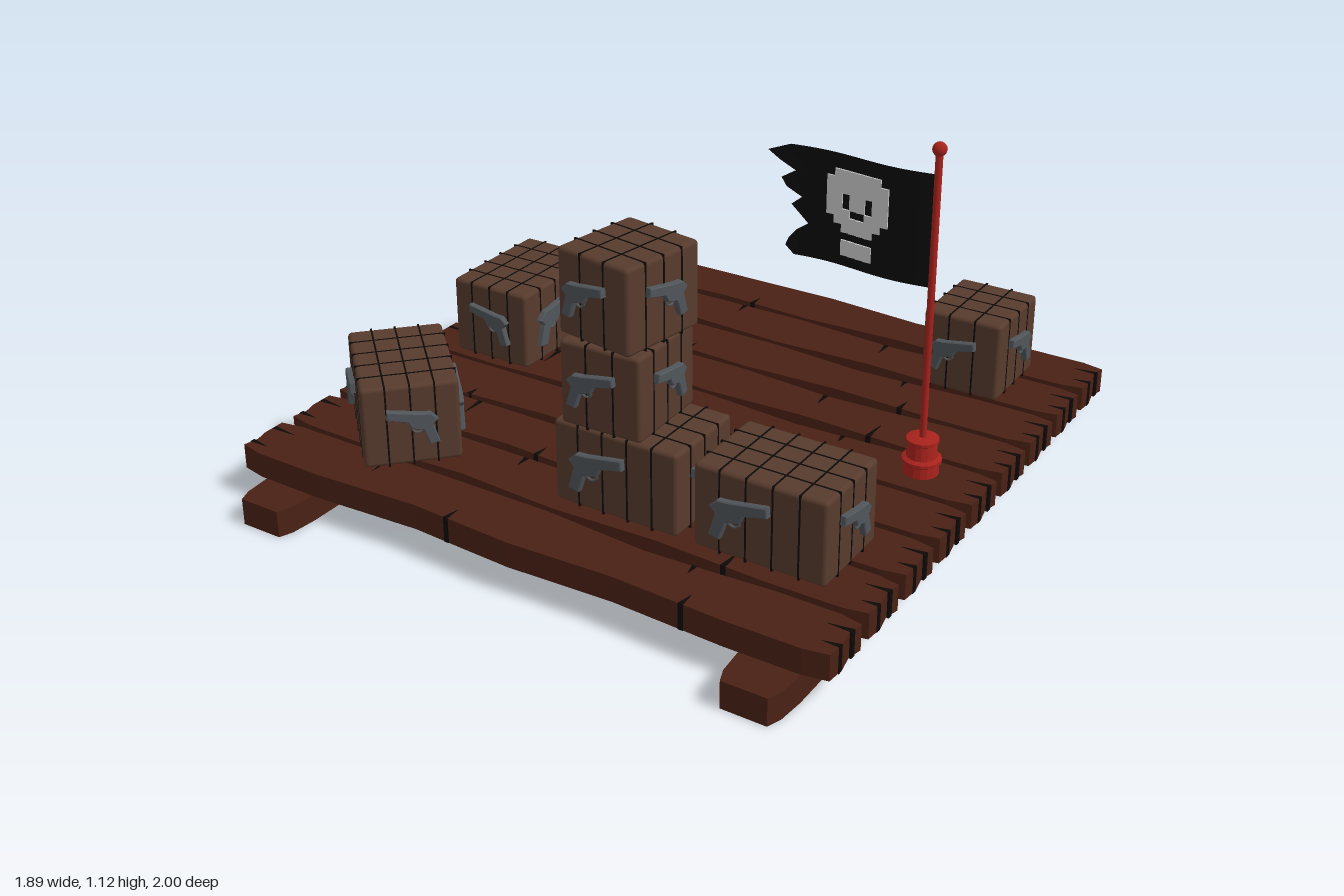
import * as THREE from 'three';
import { RoundedBoxGeometry } from 'three/addons/geometries/RoundedBoxGeometry.js';

const mat = (color, extra = {}) => new THREE.MeshStandardMaterial({ color, ...extra });
const WOOD = mat(0x4a2115, { flatShading: true });
const CRATE = mat(0x573b2d);
const DARK = mat(0x0d0907);
const METAL = mat(0x50555a);
const RED = mat(0xa8221c);
const CLOTH = mat(0x0b0b0b, { side: THREE.DoubleSide });
const BONE = mat(0xc4c4c4);

function add(parent, name, geometry, material, x = 0, y = 0, z = 0) {
  const mesh = new THREE.Mesh(geometry, material);
  mesh.name = name;
  mesh.position.set(x, y, z);
  parent.add(mesh);
  return mesh;
}

const shapeOf = (pts) => new THREE.Shape(pts.map(([x, y]) => new THREE.Vector2(x, y)));

// Extrudes plan outlines (x, z) upwards
function slab(outlines, height) {
  const shapes = outlines.map((pts) => shapeOf(pts.map(([x, z]) => [x, -z])));
  return new THREE.ExtrudeGeometry(shapes, { depth: height, bevelEnabled: false }).rotateX(-Math.PI / 2);
}

// Deck: two beams under nine worn planks
function buildDeck(root) {
  const beam = slab([[
    [-0.065, -1], [0.065, -1], [0.08, -0.96], [0.087, -0.88], [0.087, 0.88], [0.08, 0.96], [0.065, 1],
    [-0.065, 1], [-0.08, 0.96], [-0.087, 0.88], [-0.087, -0.88], [-0.08, -0.96],
  ]], 0.08);
  for (const x of [-0.765, 0.785]) add(root, 'beam', beam, WOOD, x);

  const plank = slab([[
    [-0.945, -0.078], [-0.87, -0.09], [0, -0.092], [0.16, -0.08], [0.32, -0.068], [0.5, -0.076], [0.7, -0.088],
    [0.88, -0.088], [0.945, -0.075], [0.935, -0.03], [0.945, 0.02], [0.94, 0.075], [0.87, 0.088],
    [0.65, 0.09], [0.32, 0.076], [0, 0.09], [-0.16, 0.082], [-0.32, 0.073], [-0.5, 0.083], [-0.65, 0.092],
    [-0.87, 0.09], [-0.945, 0.075], [-0.935, 0.03], [-0.945, -0.01],
  ]], 0.075);
  // Splits running in from the long edges and from the ends
  const split = (x, z, dz) => [[x - 0.008, z], [x + 0.008, z], [x + 0.003, z + dz]];
  const endSplit = (x, z, dx) => [[x, z - 0.008], [x, z + 0.008], [x + dx, z + 0.004]];
  const splitSets = [
    [split(-0.54, -0.092, 0.09), split(-0.21, 0.08, -0.05), split(0.47, -0.077, 0.04), split(0.53, 0.086, -0.05)],
    [split(-0.22, -0.092, 0.05), split(0.31, -0.07, 0.06), split(0.53, 0.086, -0.08), split(-0.6, 0.089, -0.04)],
  ].map((set) => slab([
    ...set, endSplit(-0.943, -0.045, 0.08), endSplit(-0.942, 0.045, 0.06),
    endSplit(0.942, -0.04, -0.07), endSplit(0.945, 0.03, -0.05),
  ], 0.077));
  for (let i = 0; i < 9; i++) {
    const z = -0.81 + i * 0.2;
    add(root, 'plank', plank, WOOD, 0, 0.08, z);
    add(root, 'plankSplits', splitSets[i % 2], DARK, 0, 0.079, z);
  }
}

// Pistol-shaped fitting fixed to the crate faces
const fittingBody = new THREE.ExtrudeGeometry(shapeOf([
  [-0.085, -0.06], [-0.058, -0.066], [-0.04, -0.012], [0, -0.002], [0.012, 0.022], [0.08, 0.038],
  [0.078, 0.062], [-0.03, 0.044], [-0.062, 0.042], [-0.082, 0.022], [-0.066, 0.004],
]), { depth: 0.016, bevelEnabled: true, bevelSize: 0.003, bevelThickness: 0.003, bevelSegments: 1 });
const fittingGuard = new THREE.TorusGeometry(0.018, 0.004, 6, 12, Math.PI).rotateZ(Math.PI);

function buildCrate(root, name, width, x, y, z, turn = 0) {
  const height = 0.243, depth = 0.272;
  const crate = new THREE.Group();
  crate.name = name;
  crate.position.set(x, y + height / 2, z);
  crate.rotation.y = turn;
  root.add(crate);
  add(crate, 'crateBody', new RoundedBoxGeometry(width, height, depth, 2, 0.012), CRATE);

  // Dark seams between boards, running round the crate both ways
  const across = width > 0.3 ? 5 : 3, gap = 0.005, proud = 0.002;
  const seamX = new THREE.BoxGeometry(gap, height + proud, depth + proud);
  const seamZ = new THREE.BoxGeometry(width + proud, height + proud, gap);
  for (let i = 1; i < across; i++) add(crate, 'seam', seamX, DARK, width * (i / across - 0.5));
  for (let i = 1; i < 4; i++) add(crate, 'seam', seamZ, DARK, 0, 0, depth * (i / 4 - 0.5));

  // One fitting per side face, mirrored on the short sides
  for (let i = 0; i < 4; i++) {
    const side = i % 2 === 1;
    const fitting = new THREE.Group();
    fitting.name = 'fitting';
    const size = side || width < 0.3 ? 0.84 : 1;
    const shift = side ? 0 : width > 0.3 ? -0.05 : -0.02;
    const out = (side ? width : depth) / 2 - 0.001;
    fitting.position.set(shift, 0, out).applyAxisAngle(new THREE.Vector3(0, 1, 0), i * Math.PI / 2);
    fitting.rotation.y = i * Math.PI / 2;
    fitting.scale.set(side ? -size : size, size, 1);
    crate.add(fitting);
    add(fitting, 'fittingBody', fittingBody, METAL);
    add(fitting, 'fittingGuard', fittingGuard, METAL, -0.018, -0.006, 0.008);
  }
}

// Flag on a pole with a stepped base
function buildFlag(root) {
  const px = 0.745, pz = -0.025;
  const profile = [[0, 0], [0.05, 0], [0.048, 0.03], [0.056, 0.036], [0.056, 0.046], [0.044, 0.052],
    [0.04, 0.092], [0.046, 0.096], [0.046, 0.106], [0.02, 0.11], [0, 0.11]];
  const base = new THREE.LatheGeometry(profile.map(([r, y]) => new THREE.Vector2(r, y)), 16);
  add(root, 'poleBase', base, mat(0xa8221c, { flatShading: true }), px, 0.155, pz);
  add(root, 'pole', new THREE.CylinderGeometry(0.01, 0.01, 0.93, 12), RED, px, 0.625, pz);
  add(root, 'poleKnob', new THREE.SphereGeometry(0.02, 12, 8), RED, px, 1.1, pz);

  // Torn cloth: each row of the grid stops at its own ragged end
  const wave = (x) => pz + 0.011 * Math.sin((px - x) * 14);
  const torn = [0.31, 0.245, 0.28, 0.325, 0.285, 0.3, 0.345, 0.315, 0.34, 0.365, 0.33, 0.31, 0.3, 0.325];
  const rows = torn.length - 1;
  const cloth = new THREE.PlaneGeometry(1, 1, 24, rows);
  const pos = cloth.attributes.position;
  for (let i = 0; i < pos.count; i++) {
    const u = pos.getX(i) + 0.5;
    const row = Math.round((0.5 - pos.getY(i)) * rows);
    const x = torn[row] + (px - torn[row]) * u;
    pos.setXYZ(i, x, 1.03 - 0.32 * row / rows, wave(x));
  }
  cloth.computeVertexNormals();
  add(root, 'flagCloth', cloth, CLOTH);

  // Blocky skull showing on both sides
  const skull = ['.######.', '########', '########', '##.##.##', '##.##.##',
    '###..###', '.######.', '..####..', '........', '..####..', '..####..'];
  const cell = 0.0241, cellY = 0.245 / skull.length;
  const pixel = new THREE.BoxGeometry(cell, cellY, 0.01);
  skull.forEach((line, r) => [...line].forEach((c, k) => {
    if (c !== '#') return;
    const x = 0.421 + (k + 0.5) * cell;
    add(root, 'skullBlock', pixel, BONE, x, 0.987 - (r + 0.5) * cellY, wave(x));
  }));
}

export function createModel() {
  const root = new THREE.Group();
  root.name = 'raft';
  buildDeck(root);
  const big = 0.385, small = 0.245, deck = 0.157;
  buildCrate(root, 'rightFrontCrate', big, 0.608, deck, 0.497);
  buildCrate(root, 'stackBottomCrate', big, 0.172, deck, 0.497);
  buildCrate(root, 'stackMiddleCrate', small, 0.13, 0.402, 0.503, 0.03);
  buildCrate(root, 'stackTopCrate', small, 0.133, 0.647, 0.497, -0.16);
  buildCrate(root, 'backCrate', small, 0.633, deck, -0.645);
  buildCrate(root, 'sideCrate', big, -0.682, deck, -0.133, Math.PI / 2);
  buildCrate(root, 'turnedCrate', big, -0.603, deck, 0.56, -0.76);
  buildFlag(root);
  return root;
}
